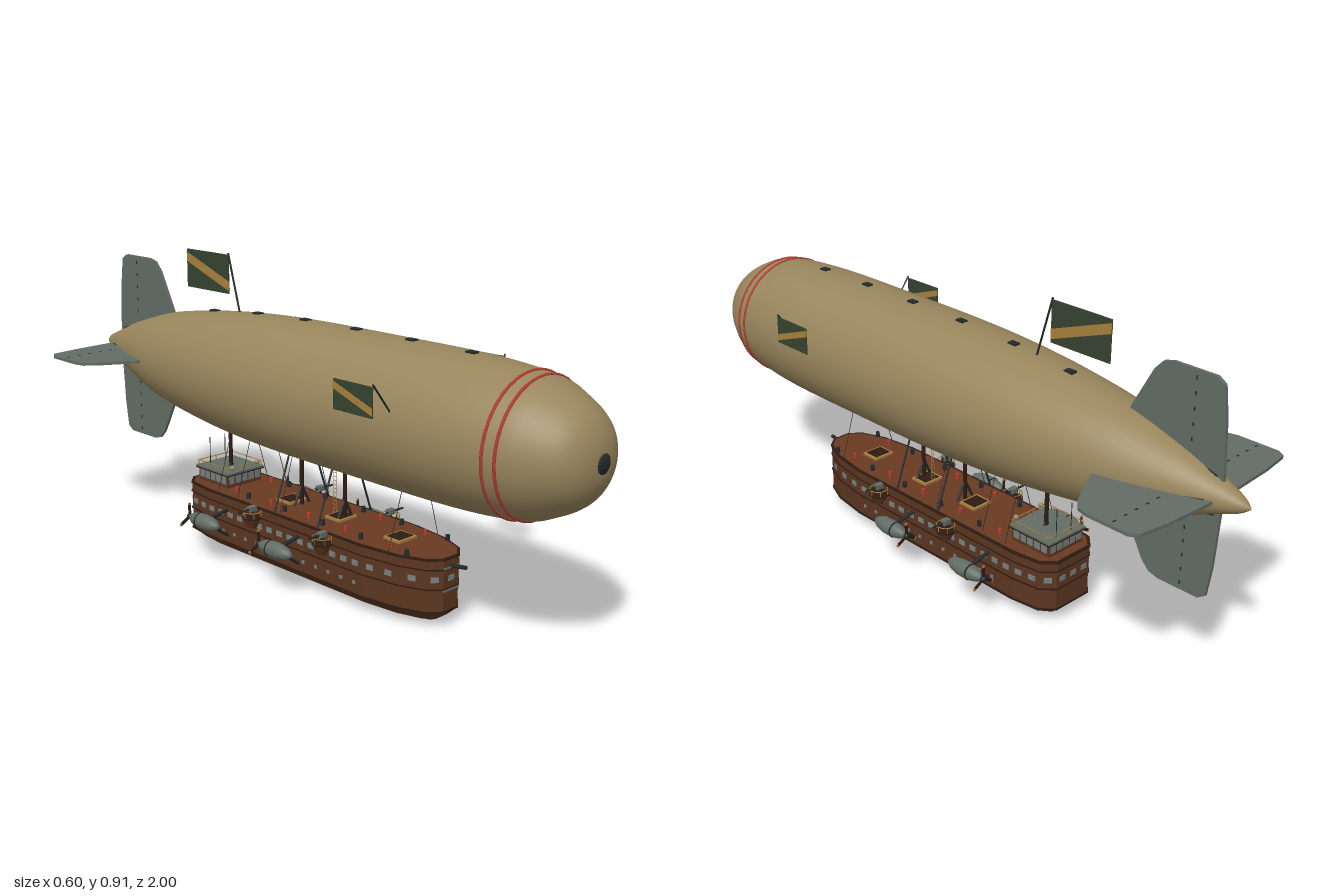
import * as THREE from 'three';

const paint = (name, color) => Object.assign(new THREE.MeshStandardMaterial({ color }), { name });
const canvas = paint('canvas', 0x98855c), wood = paint('hull wood', 0x5c3620), deckWood = paint('deck wood', 0x6a3a22),
  darkWood = paint('dark wood', 0x2e1c12), steel = paint('grey steel', 0x626c64), iron = paint('dark iron', 0x24292a),
  glass = paint('window grey', 0x75807e), red = paint('red', 0xb23c32), brass = paint('brass', 0xa8803c), cloth = paint('flag green', 0x37432f);

const AXIS = 0.555; // height of the envelope's axis

function add(parent, name, geo, mat, x = 0, y = 0, z = 0) {
  const m = new THREE.Mesh(geo, mat);
  m.name = name;
  m.position.set(x, y, z);
  parent.add(m);
  return m;
}
const box = (p, name, mat, w, h, d, x, y, z) => add(p, name, new THREE.BoxGeometry(w, h, d), mat, x, y, z);
function group(parent, name, x = 0, y = 0, z = 0) {
  const g = new THREE.Group();
  g.name = name;
  g.position.set(x, y, z);
  parent.add(g);
  return g;
}
// Straight round bar between two points
function rod(p, name, mat, a, b, r, sides = 6) {
  const A = new THREE.Vector3(...a), B = new THREE.Vector3(...b), d = B.clone().sub(A);
  const m = add(p, name, new THREE.CylinderGeometry(r, r, d.length(), sides), mat);
  m.position.copy(A).add(B).multiplyScalar(0.5);
  m.quaternion.setFromUnitVectors(new THREE.Vector3(0, 1, 0), d.normalize());
  return m;
}

// Envelope profile as (radius, z), tail to nose
const profile = new THREE.SplineCurve([[0.001, -1], [0.022, -0.97], [0.05, -0.9], [0.09, -0.8], [0.142, -0.62], [0.174, -0.4],
  [0.191, -0.2], [0.199, 0], [0.201, 0.25], [0.2, 0.6], [0.184, 0.8], [0.158, 0.88], [0.115, 0.95], [0.06, 0.985], [0.001, 0.995]]
  .map(p => new THREE.Vector2(...p))).getPoints(70);
function radiusAt(z) {
  const i = Math.max(1, profile.findIndex(p => p.y >= z)), a = profile[i - 1], b = profile[i];
  return a.x + (b.x - a.x) * (z - a.y) / (b.y - a.y);
}

// Hull plan, bow to stern down the left side, then back up the right
const half = [[0.03, 0.505], [0.065, 0.475], [0.095, 0.4], [0.112, 0.28], [0.113, -0.38], [0.1, -0.47], [0.065, -0.505]];
const plan = [...half, ...half.slice().reverse().map(([x, z]) => [-x, z])];

// Flat shaded skin through levels of the hull plan: [y, x scale, z scale]
function hullSkin(levels) {
  const v = [], n = plan.length;
  const at = (l, i) => [plan[i % n][0] * l[1], l[0], plan[i % n][1] * l[2]];
  const top = levels[levels.length - 1], low = levels[0];
  for (let i = 0; i < n; i++) {
    for (let k = 0; k + 1 < levels.length; k++) {
      const [a, b, c, d] = [at(levels[k], i), at(levels[k], i + 1), at(levels[k + 1], i + 1), at(levels[k + 1], i)];
      v.push(...a, ...b, ...c, ...a, ...c, ...d);
    }
    v.push(0, top[0], 0, ...at(top, i), ...at(top, i + 1), 0, low[0], 0, ...at(low, i + 1), ...at(low, i));
  }
  const g = new THREE.BufferGeometry();
  g.setAttribute('position', new THREE.Float32BufferAttribute(v, 3));
  g.computeVertexNormals();
  return g;
}
// Row of thin plates round the hull side
function plateRow(p, name, mat, y, step, w, h, zMin, zMax) {
  plan.forEach(([x, z], i) => {
    const [x2, z2] = plan[(i + 1) % plan.length], dx = x2 - x, dz = z2 - z;
    const count = Math.max(1, Math.floor(Math.hypot(dx, dz) / step));
    for (let k = 0; k < count; k++) {
      const t = (k + 0.5) / count, pz = z + dz * t;
      if (pz < zMin || pz > zMax) continue;
      box(p, name, mat, w, h, 0.004, x + dx * t, y, pz).rotation.y = Math.atan2(-dz, dx);
    }
  });
}

function buildEnvelope(root) {
  const g = group(root, 'envelope', 0, AXIS, 0);
  add(g, 'gasbag', new THREE.LatheGeometry(profile, 36).rotateX(Math.PI / 2), canvas);
  add(g, 'noseCap', new THREE.SphereGeometry(0.03, 20, 10).scale(1, 1, 0.5), iron, 0, 0, 0.985);
  add(g, 'tailCap', new THREE.ConeGeometry(0.021, 0.035, 16).rotateX(-Math.PI / 2), iron, 0, 0, -0.9825);
  for (const z of [0.78, 0.815]) add(g, 'redBand', new THREE.TorusGeometry(radiusAt(z), 0.0045, 6, 48), red, 0, 0, z);
  for (let i = 0; i < 6; i++) {
    const z = 0.59 - i * 0.203;
    box(g, 'topVent', iron, 0.02, 0.008, 0.028, 0, radiusAt(z), z);
  }
  // Keel walkway along the belly
  for (let z = 0.5; z > -0.6; z -= 0.1) {
    const r1 = radiusAt(z), r2 = radiusAt(z - 0.1);
    const k = box(g, 'keel', darkWood, 0.032, 0.01, 0.102, 0, -(r1 + r2) / 2, z - 0.05);
    k.rotation.x = Math.atan2(r1 - r2, -0.1) - Math.PI;
  }
  // Four tail fins
  const outline = new THREE.Shape([[0.03, -0.92], [0.03, -0.64], [0.143, -0.63], [0.265, -0.695], [0.292, -0.72], [0.3, -0.75],
    [0.3, -0.875], [0.285, -0.898], [0.2, -0.91]].map(p => new THREE.Vector2(...p)));
  const finGeo = new THREE.ExtrudeGeometry(outline, { depth: 0.009, bevelEnabled: false }).translate(0, 0, -0.0045).rotateX(Math.PI / 2);
  for (let i = 0; i < 4; i++) {
    const fin = group(g, 'tailFin');
    fin.rotation.z = i * Math.PI / 2;
    add(fin, 'finPanel', finGeo, steel);
    for (let k = 0; k < 5; k++) box(fin, 'hingeRivet', iron, 0.01, 0.011, 0.004, 0.12 + k * 0.04, 0, -0.82);
    rod(fin, 'finSpar', iron, [0.13, 0, -0.632], [0.05, 0, -0.9], 0.007);
  }
}

// Flag with a diagonal stripe, trailing aft from its top front corner
function flag(root, name, x, y, z, w, h) {
  const g = group(root, name, x, y, z);
  box(g, 'flagCloth', cloth, 0.003, h, w, 0, -h / 2, -w / 2);
  const stripe = new THREE.Shape([[0, -h * 0.92], [0, -h * 0.68], [w, -h * 0.08], [w, -h * 0.32]].map(p => new THREE.Vector2(...p)));
  const geo = new THREE.ExtrudeGeometry(stripe, { depth: 0.005, bevelEnabled: false }).translate(0, 0, -0.0025).rotateY(Math.PI / 2);
  add(g, 'flagStripe', geo, brass);
}

function buildHull(root) {
  const g = group(root, 'gondola', 0, 0, 0.04);
  add(g, 'hull', hullSkin([[0.002, 0.3, 0.88], [0.018, 0.72, 0.94], [0.046, 0.98, 1], [0.198, 1, 1]]), wood);
  add(g, 'deck', hullSkin([[0.196, 0.95, 0.99], [0.2, 0.95, 0.99]]), deckWood);
  for (const [y, h] of [[0.046, 0.005], [0.112, 0.003], [0.167, 0.003], [0.194, 0.005]])
    add(g, 'hullBelt', hullSkin([[y, 1.02, 1.005], [y + h, 1.02, 1.005]]), darkWood);
  plateRow(g, 'window', glass, 0.141, 0.042, 0.022, 0.015, -0.6, 0.6);
  plateRow(g, 'porthole', glass, 0.083, 0.05, 0.009, 0.009, -0.33, 0.29);
  for (const y of [0.108, 0.171]) box(g, 'bowPlate', steel, 0.06, 0.004, 0.004, 0, y, 0.507);
  rod(g, 'bowGun', iron, [0, 0.172, 0.49], [0, 0.182, 0.555], 0.006);

  // Deck fittings
  for (const z of [0.27, 0.04, -0.17]) {
    box(g, 'hatchRim', brass, 0.07, 0.008, 0.06, 0, 0.203, z + 0.05);
    box(g, 'hatchCover', darkWood, 0.055, 0.01, 0.046, 0, 0.204, z + 0.05);
  }
  for (const s of [-1, 1]) for (const z of [0.42, 0.25, 0.1, -0.06, -0.22]) {
    add(g, 'deckBollard', new THREE.CylinderGeometry(0.006, 0.007, 0.018, 8), iron, s * 0.082, 0.208, z);
    add(g, 'redCask', new THREE.CylinderGeometry(0.006, 0.006, 0.016, 8), red, s * 0.07, 0.208, z - 0.07);
  }
}

function buildCabin(root) {
  const g = group(root, 'wheelhouse', 0, 0.2, -0.365);
  box(g, 'cabinWalls', wood, 0.135, 0.042, 0.14, 0, 0.021, 0);
  box(g, 'cabinRoof', steel, 0.146, 0.006, 0.152, 0, 0.044, 0);
  box(g, 'roofEdge', darkWood, 0.15, 0.003, 0.156, 0, 0.04, 0);
  for (let i = -2; i <= 2; i++) for (const s of [-1, 1]) {
    box(g, 'cabinWindow', glass, 0.02, 0.024, 0.004, i * 0.026, 0.023, s * 0.07);
    box(g, 'cabinSideWindow', glass, 0.004, 0.024, 0.02, s * 0.0675, 0.023, i * 0.026);
  }
  for (const s of [-1, 1]) {
    rod(g, 'roofRail', brass, [s * 0.068, 0.062, -0.07], [s * 0.068, 0.062, 0.07], 0.0015);
    rod(g, 'roofRail', brass, [-0.068, 0.062, s * 0.07], [0.068, 0.062, s * 0.07], 0.0015);
    for (const x of [-0.068, 0, 0.068]) rod(g, 'railPost', brass, [x, 0.044, s * 0.07], [x, 0.062, s * 0.07], 0.0015);
    add(g, 'roofLamp', new THREE.SphereGeometry(0.008, 10, 8), canvas, s * 0.05, 0.062, 0.072);
    rod(g, 'roofAerial', iron, [s * 0.03, 0.04, -0.06], [s * 0.03, 0.13, -0.06], 0.0012);
  }
}

function buildRigging(root) {
  const g = group(root, 'rigging');
  for (const z of [0.145, -0.035, -0.36]) {
    rod(g, 'mast', darkWood, [0, 0.2, z], [0, AXIS - radiusAt(z), z], 0.006, 8);
    for (const s of [-1, 1]) rod(g, 'mastBrace', iron, [s * 0.03, 0.2, z], [0, 0.26, z], 0.004);
  }
  for (const s of [-1, 1]) {
    for (const z of [0.145, -0.035]) rod(g, 'stay', iron, [s * 0.108, 0.198, z], [s * 0.05, 0.362, z], 0.003);
    for (const z of [0.41, -0.02, -0.21, -0.3]) rod(g, 'rope', iron, [s * 0.1, 0.198, z], [s * 0.05, 0.365, z], 0.0012, 4);
    rod(g, 'ladderRail', brass, [0, 0.2, 0.105 + s * 0.006], [0, 0.36, 0.105 + s * 0.006], 0.001, 4);
  }
  for (let y = 0.21; y < 0.355; y += 0.012) rod(g, 'ladderRung', brass, [0, y, 0.099], [0, y, 0.111], 0.001, 4);
}

// Engine pod with its struts and pusher propeller, on side s
function enginePod(root, s, z) {
  const g = group(root, 'enginePod', s * 0.2, 0.137, z);
  add(g, 'nacelle', new THREE.SphereGeometry(0.024, 16, 12).scale(1, 1, 2.8), steel);
  add(g, 'cowlRing', new THREE.TorusGeometry(0.022, 0.003, 6, 16), iron, 0, 0, -0.02);
  rod(g, 'upperStrut', iron, [0, 0, 0], [-s * 0.09, 0.018, 0], 0.006);
  rod(g, 'lowerStrut', iron, [0, 0, 0], [-s * 0.09, -0.065, 0], 0.005);
  add(g, 'propellerHub', new THREE.SphereGeometry(0.009, 10, 8), iron, 0, 0, -0.07);
  for (let i = 0; i < 3; i++) {
    const blade = group(g, 'propellerBlade', 0, 0, -0.07);
    blade.rotation.z = i * Math.PI * 2 / 3;
    box(blade, 'bladeRoot', darkWood, 0.009, 0.034, 0.003, 0, 0.019, 0);
    box(blade, 'bladeTip', brass, 0.009, 0.006, 0.003, 0, 0.039, 0);
  }
}

// Gun platform bracketed off the hull, on side s
function gunPlatform(root, s, z) {
  const g = group(root, 'gunPlatform', s * 0.138, 0.16, z);
  add(g, 'platformTub', new THREE.CylinderGeometry(0.028, 0.014, 0.03, 12), wood);
  add(g, 'tubRim', new THREE.CylinderGeometry(0.03, 0.03, 0.004, 12), darkWood, 0, 0.015, 0);
  add(g, 'platformRail', new THREE.TorusGeometry(0.027, 0.0015, 5, 16).rotateX(Math.PI / 2), brass, 0, 0.034, 0);
  for (let i = 0; i < 6; i++) {
    const x = 0.027 * Math.cos(i * Math.PI / 3), d = 0.027 * Math.sin(i * Math.PI / 3);
    rod(g, 'railPost', brass, [x, 0.015, d], [x, 0.034, d], 0.0013, 5);
  }
  rod(g, 'gunPedestal', iron, [0, 0.015, 0], [0, 0.035, 0], 0.005);
  box(g, 'gunBody', steel, 0.024, 0.015, 0.018, 0, 0.042, 0);
  rod(g, 'gunBarrel', iron, [-s * 0.02, 0.041, 0], [s * 0.052, 0.041, 0], 0.003);
}

export function createModel() {
  const root = new THREE.Group();
  root.name = 'airship';
  buildEnvelope(root);
  flag(root, 'topFlag', 0, 0.905, -0.355, 0.2, 0.118);
  rod(root, 'topFlagPole', iron, [0, 0.73, -0.305], [0, 0.91, -0.357], 0.003);
  for (const s of [-1, 1]) {
    flag(root, 'sideFlag', s * 0.256, 0.692, 0.495, 0.137, 0.08);
    rod(root, 'sideFlagPole', iron, [s * 0.185, 0.612, 0.49], [s * 0.256, 0.698, 0.495], 0.0025);
    for (const z of [0.07, -0.247]) enginePod(root, s, z);
    for (const z of [0.195, -0.1]) gunPlatform(root, s, z);
  }
  buildHull(root);
  buildCabin(root);
  buildRigging(root);
  return root;
}
